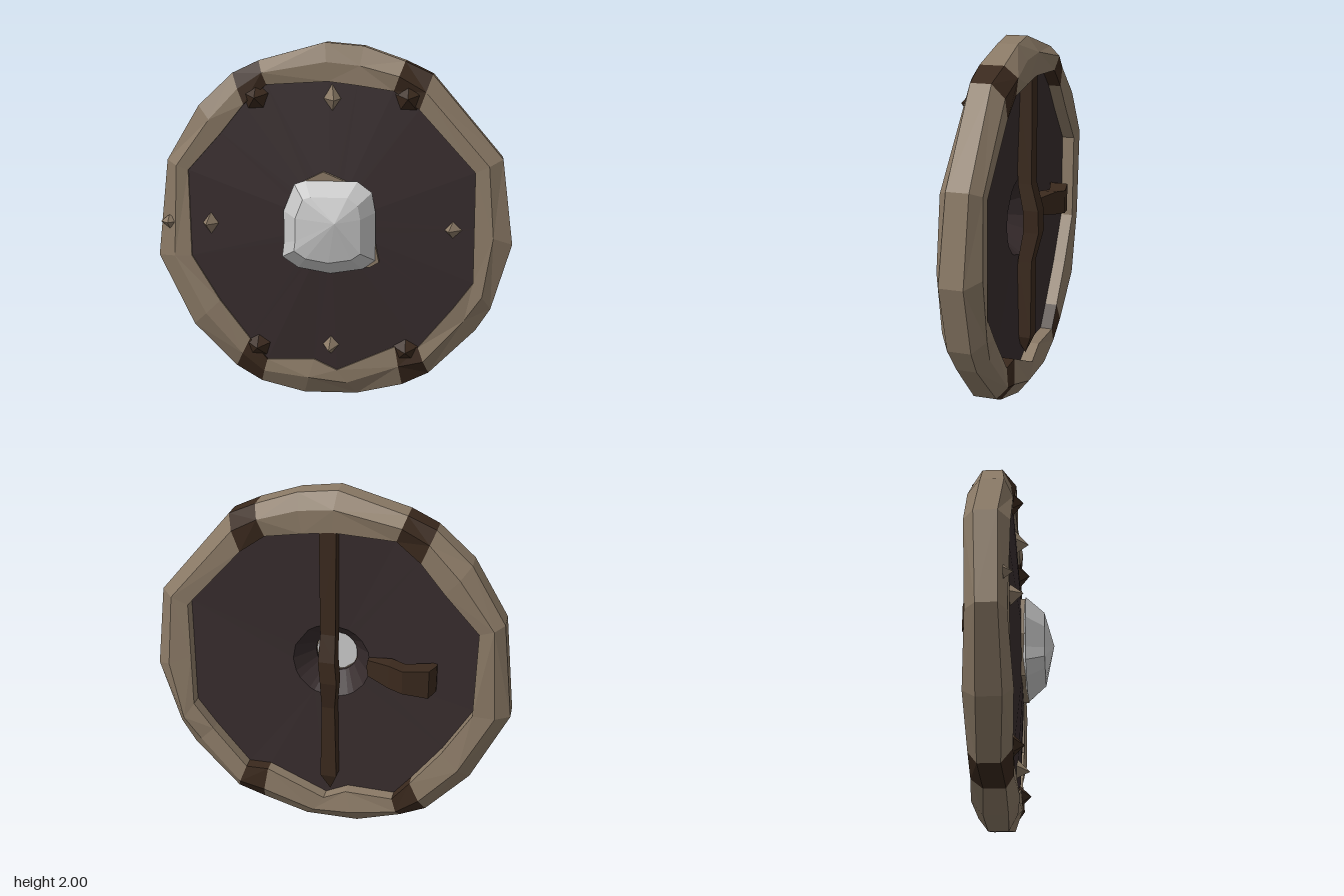
import * as THREE from 'three';

const mat = (name, color) => {
  const m = new THREE.MeshStandardMaterial({ color });
  m.name = name;
  return m;
};

// Flat-shaded skin over rings of [x,y,z] points, each ring counter-clockwise
// when seen from the side of the first ring. keep(j) selects segments.
function skin(rings, keep = () => true) {
  const pos = [];
  const v = (p) => new THREE.Vector3(...p);
  const tri = (a, b, c) => {
    const n = v(b).sub(v(a)).cross(v(c).sub(v(a)));
    if (n.length() > 1e-7) pos.push(...a, ...b, ...c);
  };
  for (let i = 0; i < rings.length - 1; i++) {
    const A = rings[i], B = rings[i + 1], n = A.length;
    for (let j = 0; j < n; j++) {
      if (!keep(j)) continue;
      const k = (j + 1) % n;
      if ((i + j) % 2) { tri(A[j], B[j], B[k]); tri(A[j], B[k], A[k]); }
      else { tri(A[j], B[j], A[k]); tri(B[j], B[k], A[k]); }
    }
  }
  const g = new THREE.BufferGeometry();
  g.setAttribute('position', new THREE.Float32BufferAttribute(pos, 3));
  g.computeVertexNormals();
  return g;
}

// Rim stations: outer x, y, inner x, y
const STATIONS = [
  [1.0, 0.9, 0.79, 0.98], [0.94, 1.37, 0.79, 1.3], [0.55, 1.83, 0.48, 1.64], [0.4, 1.9, 0.34, 1.74],
  [0.17, 1.98, 0.14, 1.77], [-0.04, 2.0, -0.02, 1.79], [-0.41, 1.9, -0.36, 1.77], [-0.56, 1.83, -0.49, 1.66],
  [-0.75, 1.65, -0.62, 1.5], [-0.94, 1.34, -0.81, 1.29], [-1, 0.79, -0.8, 0.8], [-0.8, 0.39, -0.64, 0.54],
  [-0.56, 0.14, -0.47, 0.32], [-0.41, 0.06, -0.37, 0.2], [-0.16, 0, -0.1, 0.21], [0.14, 0, 0.03, 0.15],
  [0.4, 0.07, 0.36, 0.3], [0.55, 0.14, 0.49, 0.3], [0.81, 0.4, 0.68, 0.53], [0.89, 0.53, 0.79, 0.68],
];
const BANDS = [2, 6, 12, 16];

export function createModel() {
  const group = new THREE.Group();
  const tan = mat('paleWood', 0x8b7a66);
  const dark = mat('darkWood', 0x3a291d);
  const boardMat = mat('boardWood', 0x372c2d);
  const steel = mat('steel', 0xcacaca);
  const add = (name, geo, material) => {
    const m = new THREE.Mesh(geo, material);
    m.name = name;
    group.add(m);
  };

  // Rim ring with four dark bands
  const section = [[0, 0.035], [0.5, 0.04], [1, -0.01], [1, -0.13], [0.6, -0.19], [0, -0.18], [0, 0.035]];
  const rimRings = section.map(([t, z], i) => STATIONS.map(([ox, oy, ix, iy], j) => {
    const wobble = i > 0 && i < 5 ? 0.012 * Math.sin(j * 2.3 + i) : 0;
    return [ix + (ox - ix) * t, iy + (oy - iy) * t, z + wobble];
  }));
  add('rim', skin(rimRings, (j) => !BANDS.includes(j)), tan);
  add('rimBands', skin(rimRings, (j) => BANDS.includes(j)), dark);

  // Domed board with a funnel-shaped hand hole at the back
  const edge = (z) => STATIONS.map(([, , x, y]) => [x * 1.04, 1 + (y - 1) * 1.04, z]);
  const hole = (r, z) => STATIONS.map(([, , x, y]) => {
    const s = r / Math.hypot(x, y - 1);
    return [x * s, 1 + (y - 1) * s, z];
  });
  add('board', skin([hole(0.12, 0.07), edge(0.02), edge(-0.11), hole(0.22, -0.09), hole(0.12, 0.04), hole(0.12, 0.07)]), boardMat);

  // Wooden plate that peeks out behind the boss
  const plate = new THREE.Shape([[-0.04, 1.3], [-0.16, 1.24], [-0.22, 1], [-0.15, 0.78], [0.22, 0.77], [0.27, 0.8], [0.25, 0.9], [0.2, 1.1], [0.08, 1.25]]
    .map(([x, y]) => new THREE.Vector2(x, y)));
  plate.holes.push(new THREE.Path().absarc(0, 1, 0.12, 0, Math.PI * 2, true));
  const plateGeo = new THREE.ExtrudeGeometry(plate, { depth: 0.035, bevelEnabled: false, curveSegments: 5 });
  plateGeo.translate(0, 0, 0.055);
  add('bossPlate', plateGeo, tan);

  // Faceted boss
  const outline = [[0.25, 0.88], [0.25, 1.08], [0.23, 1.19], [0.15, 1.25], [-0.14, 1.25], [-0.2, 1.23], [-0.26, 1.08],
    [-0.26, 0.9], [-0.27, 0.82], [-0.18, 0.76], [0, 0.73], [0.18, 0.76], [0.25, 0.81]];
  const bossRing = (s, z) => outline.map(([x, y]) => [x * s, 1 + (y - 1) * s, z]);
  add('boss', skin([
    outline.map(() => [0.04, 1.04, 0.24]), bossRing(0.7, 0.19), bossRing(1, 0.09), bossRing(0.45, 0.06), outline.map(() => [0, 1, 0.06]),
  ]), steel);

  // Splinter spikes: centre, half sizes, apex offset and height
  const spike = (name, x, y, w, h, dx, dy, z, material, n = 4) => {
    const base = Array.from({ length: n }, (_, i) => {
      const a = (i / n) * Math.PI * 2 + Math.PI / 2;
      return [x + w * Math.cos(a), y + h * Math.sin(a), 0.01];
    });
    add(name, skin([base.map(() => [x + dx, y + dy, z]), base]), material);
  };
  spike('topSpike', 0, 1.7, 0.06, 0.09, 0.02, -0.01, 0.1, tan);
  spike('bottomSpike', 0, 0.31, 0.06, 0.07, -0.01, -0.03, 0.1, tan);
  spike('rightSpike', -0.68, 0.99, 0.06, 0.08, -0.02, 0, 0.1, tan);
  spike('leftSpike', 0.68, 0.98, 0.06, 0.06, -0.03, 0, 0.1, tan);
  spike('rimSplinter', -0.93, 0.99, 0.05, 0.04, 0, 0, 0.06, tan);
  for (const s of [-1, 1]) {
    spike('upperBandSpike', s * 0.42, 1.7, 0.09, 0.09, 0, 0, 0.09, dark, 5);
    spike('lowerBandSpike', s * 0.42, 0.28, 0.09, 0.08, 0, 0, 0.09, dark, 5);
  }

  // Vertical grip bar on the back: y, centre x, half width, centre z, half depth
  const bar = [[1.81, 0, 0, -0.13, 0], [1.8, 0, 0.05, -0.13, 0.05], [1.2, 0, 0.045, -0.135, 0.045], [1.05, 0, 0.05, -0.17, 0.05],
    [0.92, -0.01, 0.05, -0.17, 0.05], [0.75, 0, 0.04, -0.135, 0.045], [0.3, 0, 0.05, -0.13, 0.05], [0.19, 0, 0, -0.13, 0]];
  const corners = [0.8, 2.3, 3.9, 5.5];
  add('gripBar', skin(bar.map(([y, x, w, z, d]) =>
    corners.map((a) => [x + w * Math.sin(a) * 1.3, y, z + d * Math.cos(a) * 1.3]))), dark);

  // Arm strap on the back: x, centre y, half height, centre z, half depth
  const strap = [[-0.2, 1, 0, -0.11, 0], [-0.21, 1, 0.05, -0.11, 0.02], [-0.34, 1, 0.07, -0.16, 0.05], [-0.42, 0.99, 0.07, -0.19, 0.05],
    [-0.56, 0.98, 0.085, -0.16, 0.055], [-0.59, 0.98, 0.08, -0.11, 0.02], [-0.59, 0.98, 0, -0.11, 0]];
  add('armStrap', skin(strap.map(([x, y, h, z, d]) =>
    corners.map((a) => [x, y + h * Math.cos(a) * 1.35, z + d * Math.sin(a) * 1.35]))), dark);

  return group;
}
